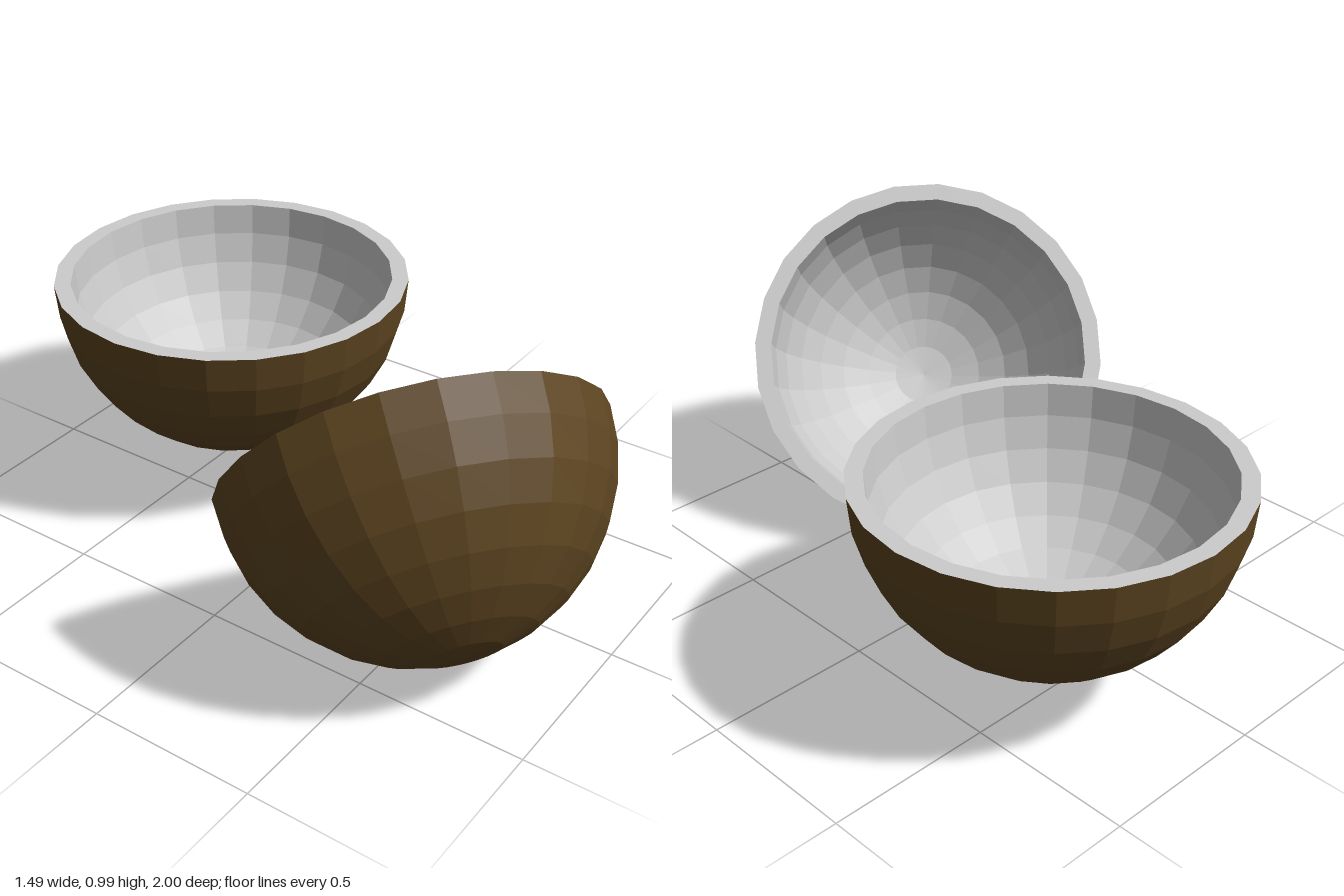
import * as THREE from 'three';

const RADIUS = 0.543, DEPTH = 0.55, THICKNESS = 0.05;
const RINGS = 8, SEGMENTS = 24;

// Quarter-ellipse profile from the bottom pole up to the rim at y = 0
function arc(radius, depth) {
  const points = [];
  for (let i = 0; i <= RINGS; i++) {
    const t = (i / RINGS) * Math.PI / 2;
    points.push(new THREE.Vector2(i ? radius * Math.sin(t) : 0, i < RINGS ? -depth * Math.cos(t) : 0));
  }
  return points;
}

function latheMesh(name, points, color) {
  const material = new THREE.MeshStandardMaterial({ color, flatShading: true });
  const mesh = new THREE.Mesh(new THREE.LatheGeometry(points, SEGMENTS), material);
  mesh.name = name;
  return mesh;
}

// Half shell: brown outside, pale flat rim and pale hollow inside
function halfShell(name) {
  const half = new THREE.Group();
  half.name = name;
  const outer = arc(RADIUS, DEPTH);
  const inner = arc(RADIUS - THICKNESS, DEPTH - THICKNESS).reverse();
  half.add(latheMesh('outerShell', outer, 0x5c4420));
  half.add(latheMesh('rim', [outer[RINGS], inner[0]], 0xcccccc));
  half.add(latheMesh('innerFlesh', inner, 0xcccccc));
  return half;
}

export function createModel() {
  const model = new THREE.Group();
  model.name = 'splitShell';

  // Upright half, opening straight up
  const upright = halfShell('uprightHalf');
  upright.position.set(0.198, 0.67, -0.457);
  model.add(upright);

  // Tilted half, opening up towards the back and its left
  const tilted = halfShell('tiltedHalf');
  tilted.position.set(-0.203, 0.545, 0.457);
  const opening = new THREE.Vector3(0.516, 0.574, -0.634).normalize();
  tilted.quaternion.setFromUnitVectors(new THREE.Vector3(0, 1, 0), opening);
  model.add(tilted);

  return model;
}
